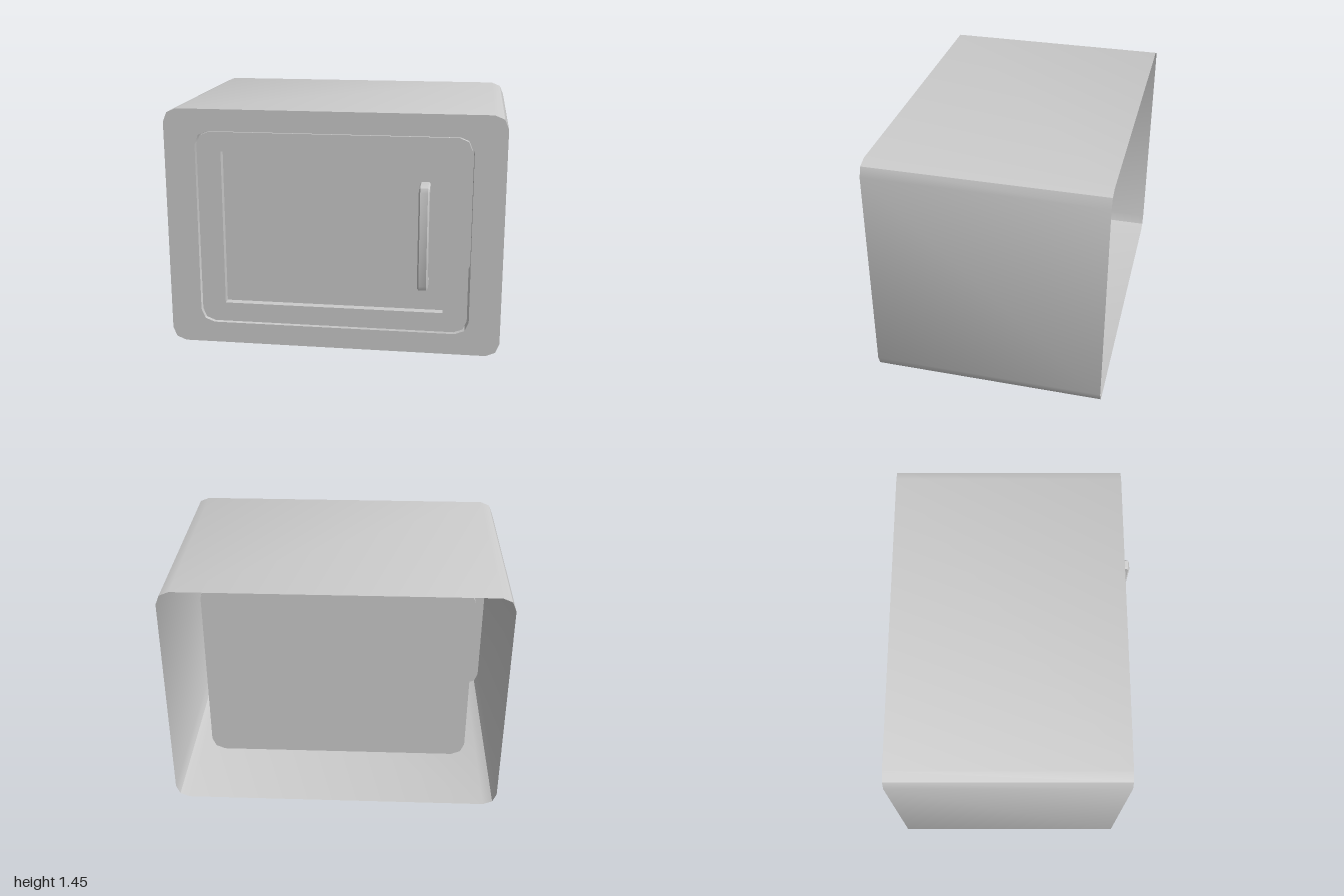
import * as THREE from 'three';
import { toCreasedNormals } from 'three/addons/utils/BufferGeometryUtils.js';

const material = new THREE.MeshStandardMaterial({ color: 0xcccccc, side: THREE.DoubleSide });
const FRONT = 0.651, BACK = -0.735, CAVITY = -0.4, WINDOW = 0.602;

// Counter-clockwise rectangle with corners rounded in two segments (r = 0: square)
function outline(w, y0, y1, r) {
  const x = w - r, corners = [[x, y1 - r], [-x, y1 - r], [-x, y0 + r], [x, y0 + r]];
  return corners.flatMap(([cx, cy], i) => (r ? [0, 1, 2] : [0]).map((k) => {
    const a = (i + k / 2) * Math.PI / 2;
    return new THREE.Vector2(cx + r * Math.cos(a), cy + r * Math.sin(a));
  }));
}

// Flat face at depth z, optionally with an opening
function face(loop, z, hole) {
  const shape = new THREE.Shape(loop);
  if (hole) shape.holes.push(new THREE.Path(hole));
  return new THREE.ShapeGeometry(shape).translate(0, 0, z);
}

// Wall following a loop from depth za to zb; it faces outward when zb > za
function wall(loop, za, zb) {
  const pos = [];
  loop.forEach((p, i) => {
    const q = loop[(i + 1) % loop.length];
    pos.push(p.x, p.y, za, q.x, q.y, za, q.x, q.y, zb);
    pos.push(p.x, p.y, za, q.x, q.y, zb, p.x, p.y, zb);
  });
  const g = new THREE.BufferGeometry();
  g.setAttribute('position', new THREE.Float32BufferAttribute(pos, 3));
  return toCreasedNormals(g, 0.5);
}

export function createModel() {
  const model = new THREE.Group();
  const add = (name, geometry) => {
    const mesh = new THREE.Mesh(geometry, material);
    mesh.name = name;
    model.add(mesh);
  };

  const body = outline(1, 0, 1.45, 0.08);
  const opening = outline(0.815, 0.13, 1.32, 0.08);
  const door = outline(0.803, 0.142, 1.317, 0.075);
  const pane = outline(0.66, 0.26, 1.2, 0);

  // Thin casing, open at the back
  add('casing', wall(body, BACK, FRONT));
  add('frontFrame', face(body, FRONT, opening));

  // Inner chamber running back from the door opening
  add('chamberWalls', wall(opening, FRONT, CAVITY));
  add('chamberBack', face(opening, CAVITY));

  // Flush door with a narrow gap around it and a recessed window
  add('doorFront', face(door, FRONT, pane));
  add('doorEdge', wall(door, WINDOW, FRONT));
  add('windowRim', wall(pane, FRONT, WINDOW));
  add('doorBack', face(door, WINDOW));

  // Bracket handle: profile in depth and height, extruded sideways
  const bevel = 0.009;
  const profile = [
    [WINDOW, 0.415], [0.7, 0.415], [0.725, 0.424], [0.735, 0.45],
    [0.735, 1.01], [0.725, 1.036], [0.7, 1.045], [WINDOW, 1.045],
    [WINDOW, 0.988], [0.655, 0.988], [0.668, 0.982], [0.688, 0.95],
    [0.688, 0.51], [0.668, 0.478], [0.655, 0.472], [WINDOW, 0.472],
  ].map(([z, y]) => new THREE.Vector2(z, y));
  const handle = new THREE.ExtrudeGeometry(new THREE.Shape(profile), {
    depth: 0.062 - 2 * bevel, bevelEnabled: true, bevelSegments: 1,
    bevelSize: bevel, bevelThickness: bevel, bevelOffset: -bevel,
  });
  handle.rotateY(-Math.PI / 2).translate(0.57 - bevel, 0, 0);
  add('handle', toCreasedNormals(handle, 0.5));

  return model;
}
